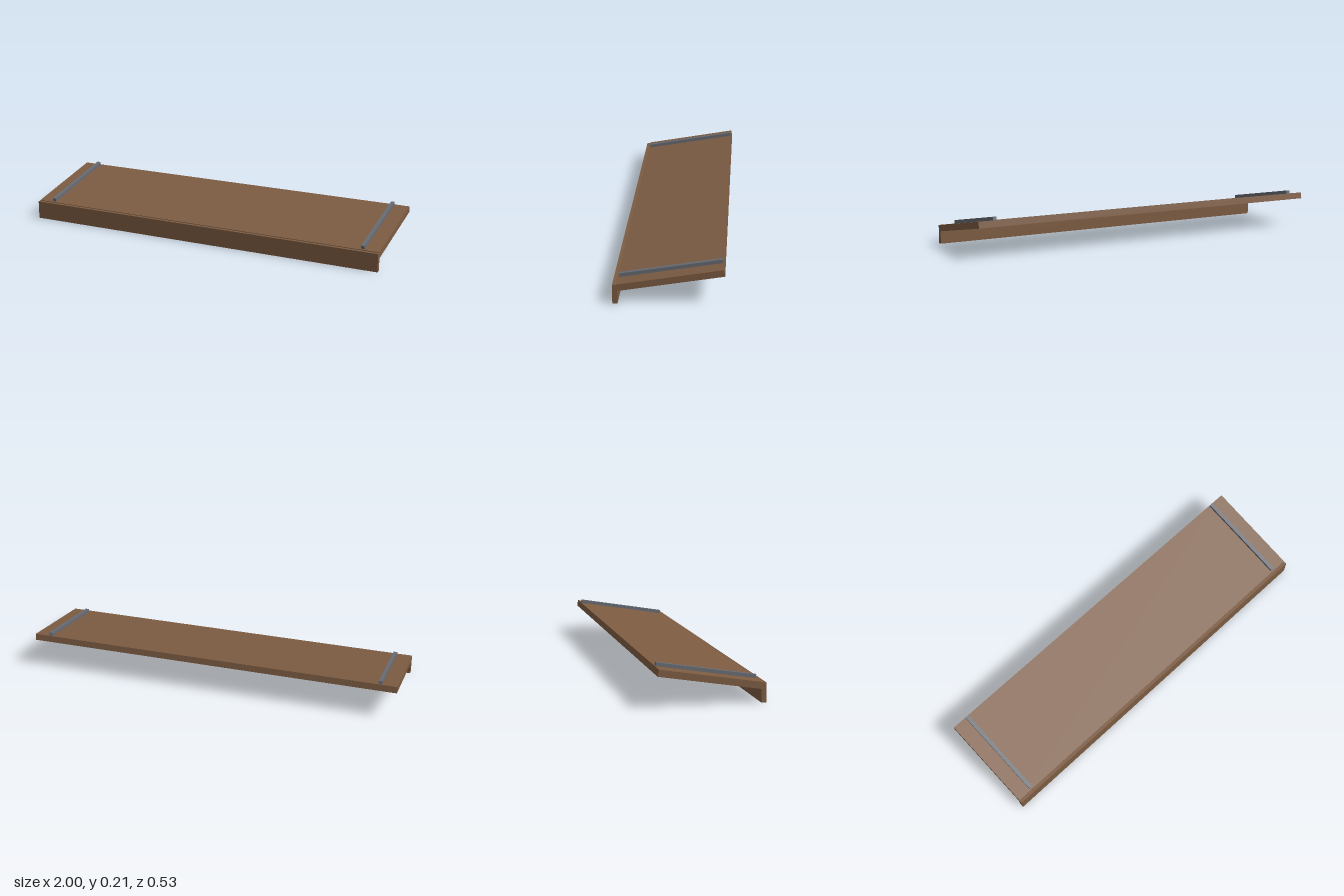
import * as THREE from 'three';

const wood = new THREE.MeshStandardMaterial({ color: 0x7d5c42 });
const metal = new THREE.MeshStandardMaterial({ color: 0x686c73 });

function box(name, size, position, material) {
  const mesh = new THREE.Mesh(new THREE.BoxGeometry(...size), material);
  mesh.name = name;
  mesh.position.set(...position);
  return mesh;
}

export function createModel() {
  const model = new THREE.Group();
  model.name = 'slopedShelf';

  // Upright board along the front edge
  model.add(box('frontBoard', [2, 0.097, 0.025], [0, 0.0485, 0.2555], wood));

  // Everything on the slope; origin at the panel's back top edge
  const slope = new THREE.Group();
  slope.name = 'slopedTop';
  slope.position.set(0, 0.19, -0.26);
  slope.rotation.x = THREE.MathUtils.degToRad(10);
  model.add(slope);

  // Tilted panel, its front end let into the front board
  slope.add(box('panel', [2, 0.034, 0.518], [0, -0.017, 0.259], wood));

  // Rails near both ends
  for (const [name, side] of [['leftRail', 1], ['rightRail', -1]]) {
    slope.add(box(name, [0.02, 0.018, 0.504], [side * 0.911, 0.009, 0.256], metal));
  }

  return model;
}
